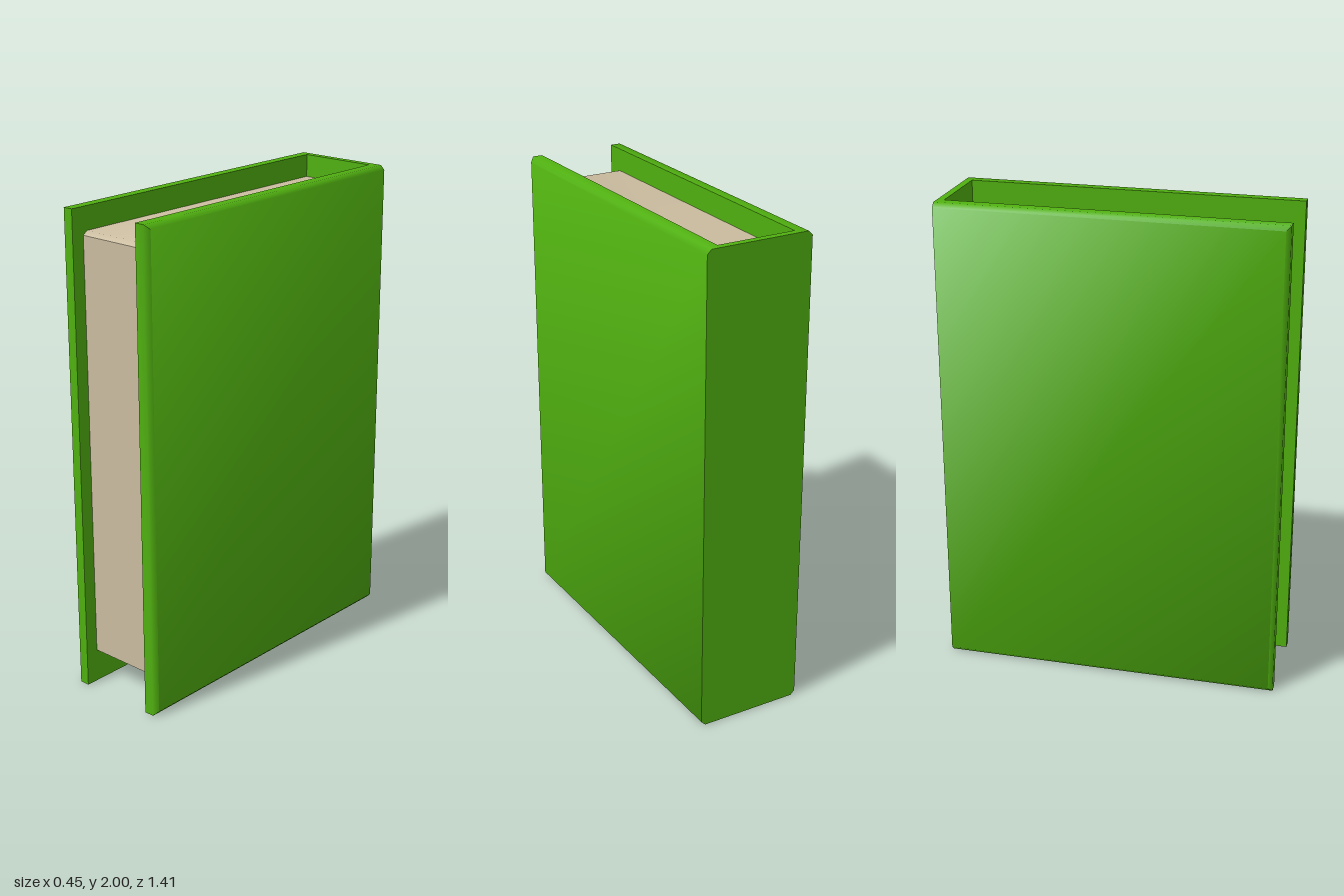
import * as THREE from 'three';
import { toCreasedNormals } from 'three/addons/utils/BufferGeometryUtils.js';

const green = new THREE.MeshStandardMaterial({ color: 0x50b010 });
green.name = 'cover green';
const cream = new THREE.MeshStandardMaterial({ color: 0xcabc9f });
cream.name = 'page cream';

// Capped solid through rectangles [x0, x1, y0, y1, z], ordered along +z.
function loft(sections) {
  const positions = [];
  const index = [];
  for (const [x0, x1, y0, y1, z] of sections) {
    positions.push(x0, y0, z, x1, y0, z, x1, y1, z, x0, y1, z);
  }
  const quad = (a, b, c, d) => index.push(a, b, c, a, c, d);
  for (let s = 0; s < sections.length - 1; s++) {
    for (let j = 0; j < 4; j++) {
      const a = s * 4 + j;
      const b = s * 4 + (j + 1) % 4;
      quad(a, b, b + 4, a + 4);
    }
  }
  const last = (sections.length - 1) * 4;
  quad(3, 2, 1, 0);
  quad(last, last + 1, last + 2, last + 3);
  const geometry = new THREE.BufferGeometry();
  geometry.setAttribute('position', new THREE.Float32BufferAttribute(positions, 3));
  geometry.setIndex(index);
  return toCreasedNormals(geometry, THREE.MathUtils.degToRad(50));
}

export function createModel() {
  const book = new THREE.Group();
  book.name = 'book';
  const add = (name, geometry, material) => {
    const mesh = new THREE.Mesh(geometry, material);
    mesh.name = name;
    book.add(mesh);
    return mesh;
  };

  const depth = 0.705; // half depth
  const width = 0.225; // half thickness of the closed book
  const inner = 0.165; // half thickness of the page block
  const bevel = 0.018;

  // Boards, bevelled on the outside at the top, bottom and fore edge
  for (const side of [1, -1]) {
    const x0 = side > 0 ? -depth + bevel : -depth;
    const x1 = side > 0 ? depth : depth - bevel;
    const board = loft([
      [-depth, depth, 0, 2, inner],
      [-depth, depth, 0, 2, width - bevel],
      [x0, x1, bevel, 2 - bevel, width],
    ]);
    board.rotateY(side * Math.PI / 2);
    add(side > 0 ? 'leftBoard' : 'rightBoard', board, green);
  }

  // Spine joining the boards at the back
  const spine = add('spine', new THREE.BoxGeometry(inner * 2, 2, 0.03), green);
  spine.position.set(0, 1, -depth + 0.015);

  // Page block with a small bevel along the fore edge
  add('pages', loft([
    [-inner, inner, 0.125, 1.905, -0.675],
    [-inner, inner, 0.125, 1.905, 0.63],
    [-inner, inner, 0.14, 1.89, 0.65],
  ]), cream);

  return book;
}
